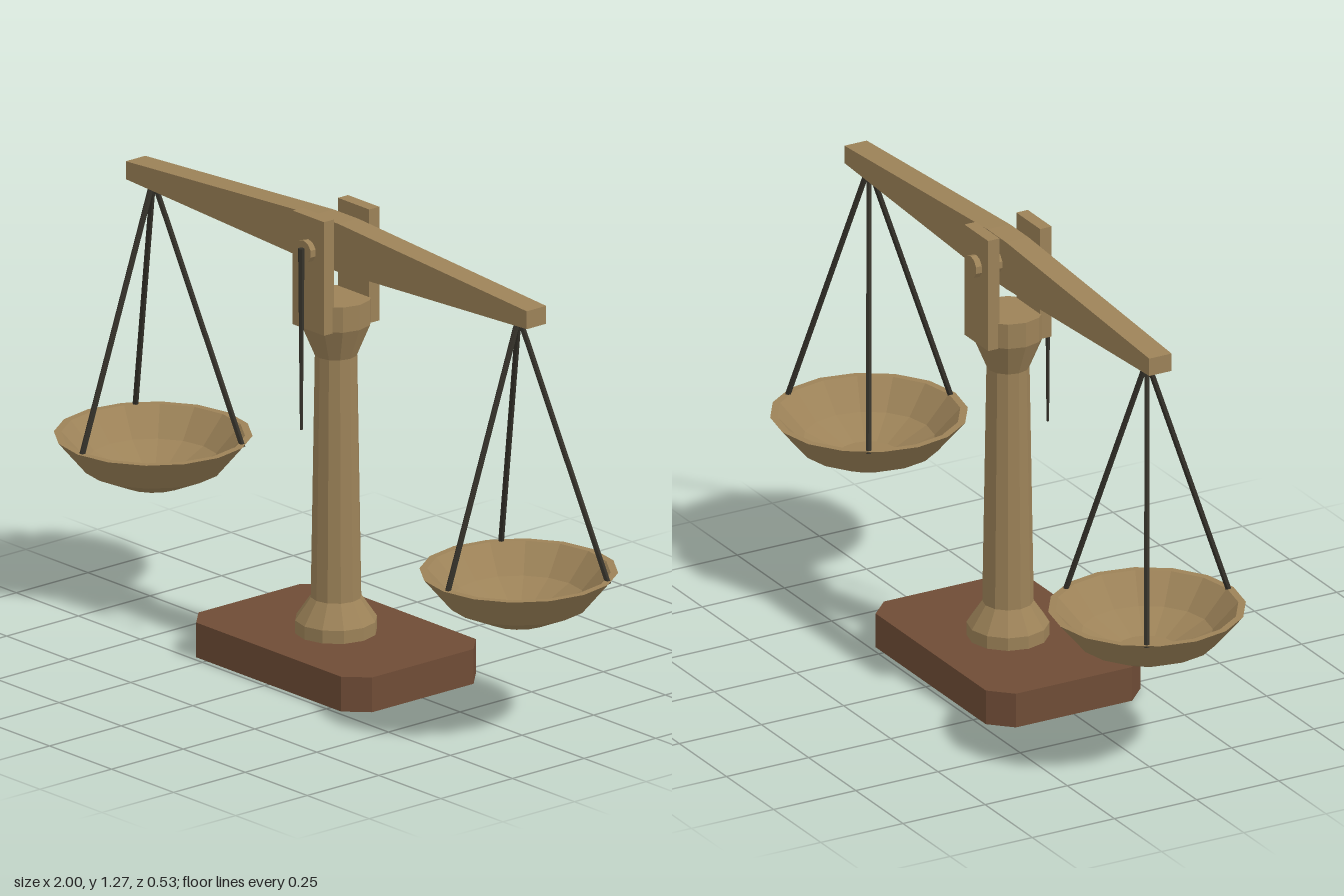
import * as THREE from 'three';

const material = (color) => new THREE.MeshStandardMaterial({ color, flatShading: true });

export function createModel() {
  const model = new THREE.Group();
  model.name = 'balanceScale';
  const brass = material(0x9c8258);
  const wood = material(0x6f4c36);
  const dark = material(0x35322a);

  const add = (parent, name, geometry, mat, x = 0, y = 0, z = 0) => {
    const mesh = new THREE.Mesh(geometry, mat);
    mesh.name = name;
    mesh.position.set(x, y, z);
    parent.add(mesh);
    return mesh;
  };
  const vectors = (pairs) => pairs.map(([x, y]) => new THREE.Vector2(x, y));
  const lathe = (pairs, sides) => new THREE.LatheGeometry(vectors(pairs), sides);
  const extrude = (pairs, depth) =>
    new THREE.ExtrudeGeometry(new THREE.Shape(vectors(pairs)), { depth, bevelEnabled: false });

  // Base: slab with cut corners
  const w = 0.35, d = 0.235, c = 0.058;
  const slab = extrude([
    [-w + c, -d], [w - c, -d], [w, -d + c], [w, d - c],
    [w - c, d], [-w + c, d], [-w, d - c], [-w, -d + c],
  ], 0.097).rotateX(-Math.PI / 2);
  add(model, 'base', slab, wood);

  // Column: flared foot, tapered shaft and flared head
  add(model, 'column', lathe([
    [0, 0.095], [0.11, 0.095], [0.11, 0.133], [0.068, 0.195],
    [0.057, 0.87], [0.095, 0.96], [0.095, 1.03], [0, 1.03],
  ], 12), brass);

  // Fork: two cheeks holding the axle
  for (const [side, name] of [[1, 'frontCheek'], [-1, 'backCheek']]) {
    add(model, name, new THREE.BoxGeometry(0.126, 0.317, 0.035), brass, 0, 1.116, side * 0.079);
  }
  add(model, 'axle', new THREE.CylinderGeometry(0.031, 0.031, 0.228, 10).rotateX(Math.PI / 2), brass, 0, 1.18, 0);

  // Beam: tapers from the middle to both ends
  const beam = extrude([
    [-0.808, 1.155], [-0.05, 1.118], [0.05, 1.118], [0.808, 1.155],
    [0.808, 1.205], [0.05, 1.252], [-0.05, 1.252], [-0.808, 1.205],
  ], 0.068).translate(0, 0, -0.034);
  add(model, 'beam', beam, brass);

  // Pointer hanging in front of the column
  add(model, 'pointer', new THREE.CylinderGeometry(0.009, 0.004, 0.505, 6), dark, 0, 0.938, 0.121);

  // Pans, each on three cords
  const panGeometry = lathe([
    [0, 0.32], [0.086, 0.32], [0.187, 0.366], [0.263, 0.456],
    [0.243, 0.456], [0.175, 0.382], [0.08, 0.338], [0, 0.338],
  ], 16);
  const top = new THREE.Vector3(0, 1.165, 0);
  const up = new THREE.Vector3(0, 1, 0);
  for (const [side, name] of [[1, 'leftPan'], [-1, 'rightPan']]) {
    const assembly = new THREE.Group();
    assembly.name = name + 'Assembly';
    assembly.position.x = side * 0.737;
    model.add(assembly);
    add(assembly, name, panGeometry, brass);
    for (let i = 0; i < 3; i++) {
      const a = (i * 2 * Math.PI) / 3;
      const end = new THREE.Vector3(Math.sin(a) * 0.25, 0.447, Math.cos(a) * 0.25);
      const span = top.clone().sub(end);
      const cord = add(assembly, 'cord', new THREE.CylinderGeometry(0.008, 0.008, span.length(), 6), dark);
      cord.position.copy(end).addScaledVector(span, 0.5);
      cord.quaternion.setFromUnitVectors(up, span.normalize());
    }
  }
  return model;
}
